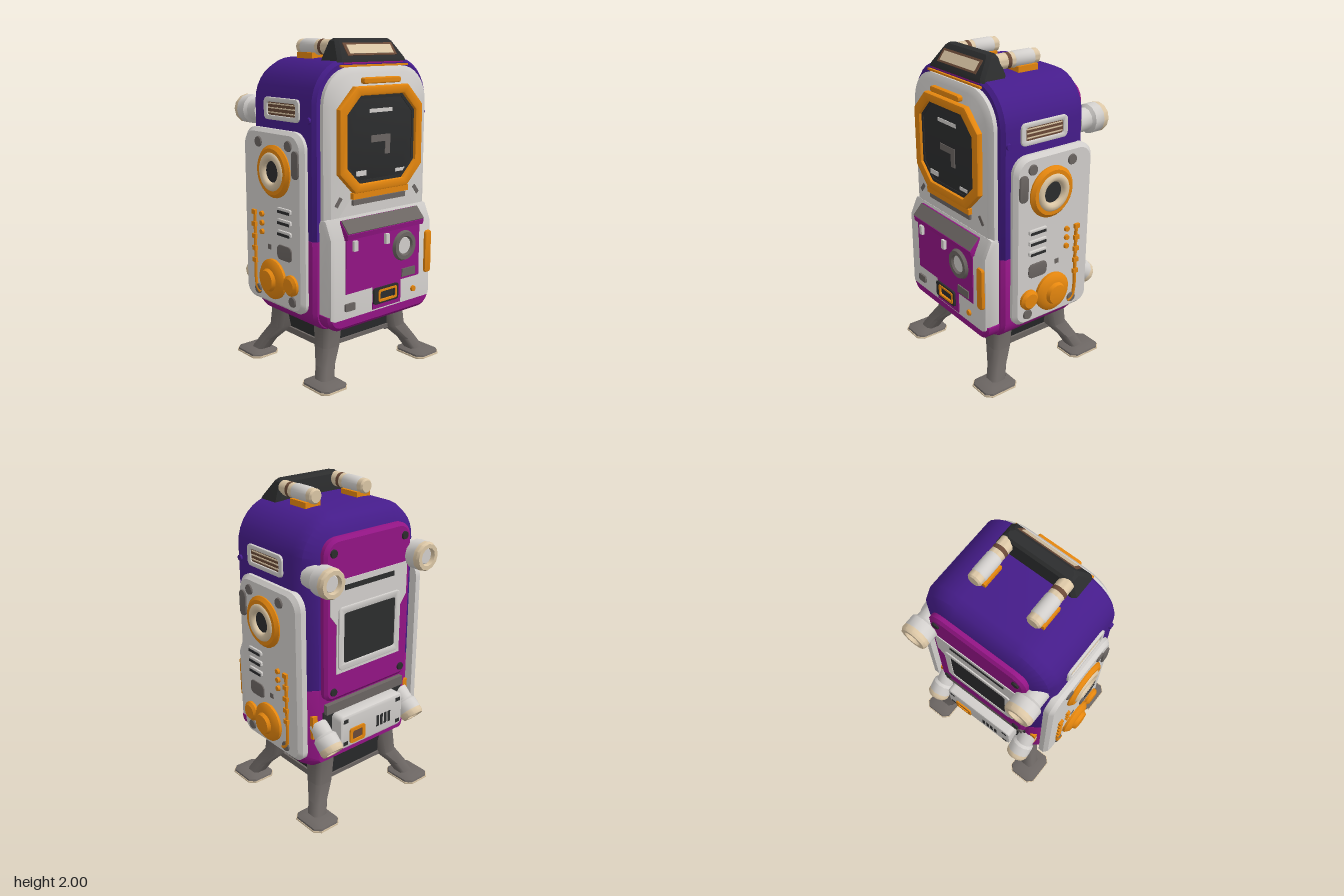
import * as THREE from 'three';
import { toCreasedNormals } from 'three/addons/utils/BufferGeometryUtils.js';

const mat = (name, color) => Object.assign(new THREE.MeshStandardMaterial({ color }), { name });
const M = {
  purple: mat('purple', 0x451c8a), magenta: mat('magenta', 0x941586), white: mat('offWhite', 0xd3d0cd),
  grey: mat('grey', 0x6c6663), dark: mat('charcoal', 0x2c2d2e), orange: mat('orange', 0xe6870e),
  beige: mat('beige', 0xdcc7a6), brown: mat('brown', 0x6b4a38),
};

function add(parent, name, geo, material, x = 0, y = 0, z = 0, rx = 0, ry = 0, rz = 0) {
  const m = new THREE.Mesh(geo, material);
  m.name = name;
  m.position.set(x, y, z);
  m.rotation.set(rx, ry, rz);
  parent.add(m);
  return m;
}

// Closed solid through equal-sized rings of points, with fan caps
function loft(rings, crease = 0.6) {
  const n = rings[0].length, tris = [];
  for (let k = 0; k + 1 < rings.length; k++) for (let i = 0; i < n; i++) {
    const j = (i + 1) % n, a = rings[k][i], b = rings[k][j], c = rings[k + 1][j], d = rings[k + 1][i];
    tris.push([a, b, c], [a, c, d]);
  }
  const cap = (ring, flip) => {
    const c = ring.reduce((s, p) => s.add(p), new THREE.Vector3()).divideScalar(n);
    for (let i = 0; i < n; i++) {
      const a = ring[i], b = ring[(i + 1) % n];
      tris.push(flip ? [c, b, a] : [c, a, b]);
    }
  };
  cap(rings[0], true);
  cap(rings[rings.length - 1], false);
  // turn faces outwards whichever way the rings run
  const vol = tris.reduce((s, [a, b, c]) => s + a.dot(b.clone().cross(c)), 0);
  const pos = [];
  for (const [a, b, c] of tris) for (const p of vol < 0 ? [a, c, b] : [a, b, c]) pos.push(p.x, p.y, p.z);
  const g = new THREE.BufferGeometry();
  g.setAttribute('position', new THREE.Float32BufferAttribute(pos, 3));
  return toCreasedNormals(g, crease);
}

// Rounded upright outline at depth z
function outline(w, y0, y1, r0, r1, z, n = 8) {
  const pts = [];
  [[1, y0, r0, -1], [1, y1, r1, 0], [-1, y1, r1, 1], [-1, y0, r0, 2]].forEach(([s, y, r, q]) => {
    const cy = y === y0 ? y + r : y - r;
    for (let i = 0; i <= n; i++) {
      const a = (q + i / n) * Math.PI / 2;
      pts.push(new THREE.Vector3(s * (w - r) + r * Math.cos(a), cy + r * Math.sin(a), z));
    }
  });
  return pts;
}

// Chamfered horizontal rectangle at height y
function level(y, cx, cz, hx, hz, c) {
  return [[hx, hz - c], [hx - c, hz], [c - hx, hz], [-hx, hz - c], [-hx, c - hz], [c - hx, -hz], [hx - c, -hz], [hx, c - hz]]
    .map(([x, z]) => new THREE.Vector3(cx + x, y, cz + z));
}

const poly = pts => new THREE.Shape(pts.map(p => new THREE.Vector2(...p)));
const rect = (w, h, r) => poly(outline(w / 2, -h / 2, h / 2, r, r, 0, 5).map(p => [p.x, p.y]));
const octo = (w, h, c) => poly([[w - c, -h], [w, c - h], [w, h - c], [w - c, h], [c - w, h], [-w, h - c], [-w, c - h], [c - w, -h]]);
function hole(shape, inner) { shape.holes.push(inner); return shape; }

// Extrusion from z = 0 to z = depth, with an optional bevel on the outline
function plate(shape, depth, bevel = 0) {
  return toCreasedNormals(new THREE.ExtrudeGeometry(shape, {
    depth: depth - bevel, bevelEnabled: bevel > 0, bevelSize: bevel, bevelThickness: bevel,
    bevelOffset: -bevel, bevelSegments: 2, curveSegments: 12,
  }), 0.6);
}
// (z, y) profile extruded across x
function across(pts, half, bevel) {
  return plate(poly(pts), 2 * half - bevel, bevel).translate(0, 0, -half + bevel).rotateY(-Math.PI / 2);
}
const box = (w, h, d) => new THREE.BoxGeometry(w, h, d);
const lathe = (pts, sides = 28) => toCreasedNormals(new THREE.LatheGeometry(pts.map(p => new THREE.Vector2(...p)), sides).rotateX(Math.PI / 2), 0.6);
const disc = (r, d) => new THREE.CylinderGeometry(r * 0.85, r, d, 20).rotateX(Math.PI / 2);

function buildShell(g) {
  const steps = [[0.32, 0.02], [0.3, 0], [-0.2, 0], [-0.26, 0.025], [-0.31, 0.1]];
  add(g, 'upperShell', loft(steps.map(([z, i]) => outline(0.445 - i, 0.88, 1.89 - i, 0.003, 0.25 - i, z))), M.purple);
  add(g, 'lowerShell', loft(steps.map(([z, i]) => outline(0.445 - i, 0.335 + i * 0.5, 0.88, 0.12 - i, 0.003, z))), M.magenta);
}

function buildFront(g) {
  add(g, 'upperFascia', loft([[0.31, 0], [0.345, 0], [0.368, 0.035]].map(([z, i]) =>
    outline(0.4 - i, 0.95, 1.845 - i, 0.01, 0.21 - i, z))), M.white);
  add(g, 'topTrim', box(0.52, 0.012, 0.02), M.orange, 0, 1.85, 0.325);
  add(g, 'topEdge', box(0.46, 0.012, 0.012), M.magenta, 0, 1.868, 0.318);
  add(g, 'lowerFascia', across([[0.28, 0.42], [0.42, 0.42], [0.42, 0.9], [0.37, 1.01], [0.28, 1.01]], 0.41, 0.03), M.white);
  add(g, 'bottomLip', loft([[0.3, 0], [0.395, 0], [0.412, 0.02]].map(([z, i]) =>
    outline(0.415 - i, 0.35 + i, 0.45, 0.09 - i, 0.003, z))), M.magenta);

  // Screen
  add(g, 'screenFrame', plate(hole(octo(0.325, 0.3, 0.12), octo(0.268, 0.248, 0.1)), 0.035, 0.012), M.orange, 0, 1.44, 0.368);
  add(g, 'screenBezel', plate(hole(octo(0.275, 0.255, 0.1), octo(0.25, 0.23, 0.09)), 0.018), M.dark, 0, 1.44, 0.366);
  add(g, 'screenGlass', plate(octo(0.262, 0.242, 0.1), 0.014, 0.008), M.dark, 0, 1.44, 0.366);
  for (const [x, y, w, h] of [[0, 1.6, 0.18, 0.022], [-0.15, 1.25, 0.08, 0.03], [0.16, 1.24, 0.08, 0.02]])
    add(g, 'screenGlint', box(w, h, 0.004), M.white, x, y, 0.382);
  for (const [x, y, w, h] of [[0, 1.44, 0.15, 0.04], [0.055, 1.385, 0.04, 0.08]])
    add(g, 'screenMark', box(w, h, 0.004), M.grey, x, y, 0.382);
  add(g, 'screenTopTab', plate(rect(0.29, 0.035, 0.015), 0.03, 0.008), M.orange, 0, 1.77, 0.368);
  add(g, 'screenSill', box(0.44, 0.035, 0.03), M.orange, 0, 1.125, 0.38);
  add(g, 'sillShadowStrip', box(0.42, 0.03, 0.02), M.grey, 0, 1.085, 0.372);
  for (const s of [-1, 1]) add(g, 'fasciaSlot', box(0.06, 0.024, 0.006), M.grey, s * 0.31, 1.1, 0.369, 0, 0, s * -0.9);

  // Control panel under a sloping canopy
  add(g, 'controlPanel', plate(poly([[-0.3, 0.57], [-0.09, 0.57], [-0.09, 0.43], [0.14, 0.43], [0.14, 0.57], [0.295, 0.57], [0.295, 0.91], [-0.3, 0.91]]), 0.008), M.magenta, 0, 0, 0.417);
  add(g, 'canopy', across([[0.36, 0.995], [0.385, 0.995], [0.45, 0.925], [0.445, 0.895], [0.4, 0.88]], 0.31, 0.008), M.magenta);
  add(g, 'canopyTop', box(0.61, 0.09, 0.01), M.grey, 0, 0.962, 0.418, -0.75);
  for (const x of [-0.24, 0.01]) add(g, 'hook', box(0.028, 0.06, 0.025), M.white, x, 0.85, 0.432);
  add(g, 'dialRing', lathe([[0.095, 0], [0.085, 0.022], [0.06, 0.022], [0.05, 0.004]]), M.grey, 0.16, 0.78, 0.422);
  add(g, 'dialFace', disc(0.058, 0.008), M.white, 0.16, 0.78, 0.428);
  add(g, 'cardSlot', box(0.11, 0.05, 0.012), M.grey, 0.2, 0.61, 0.427);
  add(g, 'trayFrame', plate(hole(rect(0.2, 0.1, 0.015), rect(0.13, 0.055, 0.01)), 0.015), M.dark, 0.01, 0.51, 0.422);
  add(g, 'trayRim', plate(hole(rect(0.15, 0.075, 0.012), rect(0.125, 0.05, 0.01)), 0.02), M.orange, 0.02, 0.51, 0.422);
  add(g, 'trayInside', box(0.125, 0.05, 0.006), M.dark, 0.02, 0.51, 0.426);
  add(g, 'smallButton', plate(rect(0.075, 0.045, 0.008), 0.014), M.grey, -0.27, 0.49, 0.418);
  add(g, 'roundButton', disc(0.02, 0.016), M.orange, 0.25, 0.488, 0.424);
  add(g, 'sideBar', plate(rect(0.055, 0.27, 0.02), 0.035, 0.01), M.orange, 0.37, 0.705, 0.4);
}

// One flank, made facing +z and then turned to face +x or -x
function buildSide(g, s) {
  const side = new THREE.Group();
  side.name = s > 0 ? 'leftSide' : 'rightSide';
  side.rotation.y = s * Math.PI / 2;
  g.add(side);
  const put = (name, geo, m, z, y, out) => add(side, name, geo, m, -s * z, y, out);

  put('sidePanel', loft([[0.43, 0], [0.465, 0], [0.488, 0.022]].map(([z, i]) =>
    outline(0.285 - i, 0.43 + i, 1.49 - i, 0.07 - i * 0.5, 0.1 - i * 0.5, z))), M.white, -0.02, 0, 0);
  put('ventFrame', plate(hole(rect(0.33, 0.13, 0.03), rect(0.265, 0.075, 0.015)), 0.02, 0.006), M.white, 0.035, 1.605, 0.437);
  put('ventBack', box(0.27, 0.08, 0.008), M.brown, 0.035, 1.605, 0.444);
  for (const d of [-0.022, 0.004, 0.028]) put('ventSlat', box(0.25, 0.007, 0.012), M.beige, 0.035, 1.605 + d, 0.446);

  // Porthole
  put('portholeRing', lathe([[0.155, 0], [0.155, 0.012], [0.135, 0.03], [0.105, 0.03]]), M.orange, 0.01, 1.25, 0.484);
  put('portholeCushion', new THREE.TorusGeometry(0.09, 0.027, 10, 28), M.beige, 0.01, 1.25, 0.5);
  put('portholeGlass', disc(0.075, 0.02), M.dark, 0.01, 1.25, 0.49);

  // Knobs and piping
  put('largeKnob', lathe([[0.122, 0], [0.122, 0.02], [0.1, 0.04], [0.07, 0.045], [0.06, 0.066], [0.035, 0.07], [0, 0.07]]), M.orange, -0.01, 0.6, 0.484);
  put('smallKnob', lathe([[0.062, 0], [0.062, 0.02], [0.045, 0.035], [0, 0.037]]), M.orange, 0.165, 0.6, 0.484);
  put('knobLink', box(0.12, 0.05, 0.02), M.orange, 0.1, 0.6, 0.49);
  const pipe = new THREE.CatmullRomCurve3([[0.19, 0.98], [0.19, 0.75], [0.19, 0.55], [0.175, 0.5], [0.14, 0.485]].map(([x, y]) => new THREE.Vector3(s * x, y, 0.49)));
  put('pipe', new THREE.TubeGeometry(pipe, 20, 0.012, 6), M.orange, 0, 0, 0);
  for (let i = 0; i < 5; i++) put('pipeClip', box(0.036, 0.028, 0.026), M.orange, -0.19, 0.98 - i * 0.075, 0.492);
  for (let i = 0; i < 3; i++) put('stud', disc(0.018, 0.018), M.orange, -0.115, 0.98 - i * 0.055, 0.494);

  // Slots, hatch and bolts
  for (let i = 0; i < 3; i++) {
    put('louverLip', plate(rect(0.13, 0.032, 0.012), 0.016, 0.005), M.white, 0.105, 1.032 - i * 0.067, 0.484);
    put('louver', box(0.11, 0.016, 0.008), M.dark, 0.105, 1.025 - i * 0.067, 0.5);
  }
  put('hatch', plate(rect(0.135, 0.09, 0.03), 0.012, 0.004), M.grey, 0.1, 0.78, 0.484);
  put('gauge', box(0.03, 0.03, 0.006), M.grey, -0.045, 0.79, 0.489);
  for (const [z, y] of [[0.145, 1.41], [-0.14, 1.41], [0.17, 0.5], [-0.17, 0.5]])
    put('panelBolt', disc(0.034, 0.014), M.grey, z, y, 0.49);
  put('oblongCap', plate(rect(0.06, 0.16, 0.028), 0.016, 0.004), M.grey, 0.21, 1.31, 0.483);
  put('shellBolt', disc(0.02, 0.02), M.purple, 0.28, 1.56, 0.447);
}

function buildBack(g) {
  const back = new THREE.Group();
  back.name = 'backSide';
  back.rotation.y = Math.PI;
  g.add(back);
  add(back, 'backPanel', loft([[0.29, 0], [0.335, 0], [0.35, 0.02]].map(([z, i]) =>
    outline(0.33 - i, 0.8 + i, 1.78 - i, 0.06 - i, 0.1 - i, z))), M.magenta);
  add(back, 'backPlate', plate(poly([[-0.25, 0.97], [0.25, 0.97], [0.25, 1.28], [0.295, 1.34], [0.295, 1.54], [-0.295, 1.54], [-0.295, 1.34], [-0.25, 1.28]]), 0.008), M.white, 0, 0, 0.347);
  add(back, 'backSlot', box(0.38, 0.03, 0.008), M.dark, 0, 1.49, 0.354);
  add(back, 'backWindowFrame', plate(hole(rect(0.48, 0.39, 0.03), rect(0.4, 0.31, 0.015)), 0.014, 0.004), M.white, 0, 1.185, 0.35);
  add(back, 'backWindow', box(0.41, 0.32, 0.008), M.dark, 0, 1.185, 0.355);
  for (const s of [-1, 1]) for (const y of [0.86, 1.7]) add(back, 'backBolt', disc(0.026, 0.014), M.dark, s * 0.27, y, 0.353);

  // Connector box
  add(back, 'connectorShelf', box(0.62, 0.06, 0.05), M.grey, 0, 0.745, 0.315);
  add(back, 'connectorRecess', box(0.64, 0.27, 0.02), M.dark, 0, 0.59, 0.308);
  add(back, 'connectorBox', plate(rect(0.51, 0.22, 0.03), 0.1, 0.014), M.white, 0, 0.59, 0.3);
  add(back, 'portRim', plate(hole(rect(0.12, 0.1, 0.015), rect(0.08, 0.06, 0.01)), 0.016), M.orange, -0.125, 0.555, 0.394);
  add(back, 'portInside', box(0.085, 0.065, 0.006), M.brown, -0.125, 0.555, 0.399);
  for (let i = 0; i < 4; i++) add(back, 'connectorSlit', box(0.02, 0.075, 0.006), M.dark, 0.045 + i * 0.032, 0.575, 0.399);
  for (const sx of [-1, 1]) for (const sy of [-1, 1]) add(back, 'connectorCorner', box(0.035, 0.025, 0.006), M.dark, sx * 0.215, 0.59 + sy * 0.075, 0.399);

  // Nozzles: a neck, a wider head and a pale lip
  const nozzle = (name, r, len, x, y, z, tilt) => {
    const n = new THREE.Group();
    n.name = name;
    n.position.set(x, y, z);
    n.rotation.x = tilt;
    back.add(n);
    add(n, 'nozzleBody', lathe([[0, 0], [r * 0.8, 0], [r * 0.8, len * 0.4], [r, len * 0.48], [r, len * 0.8]], 12), M.white);
    add(n, 'nozzleRim', lathe([[r, len * 0.8], [r, len * 0.92], [r * 0.9, len], [r * 0.62, len], [r * 0.55, len * 0.85]], 12), M.beige);
    add(n, 'nozzleMouth', disc(r * 0.6, 0.008), M.white, 0, 0, len * 0.87);
  };
  for (const s of [-1, 1]) {
    nozzle('upperNozzle', 0.088, 0.2, s * 0.36, 1.575, 0.26, 0);
    nozzle('lowerNozzle', 0.073, 0.2, s * 0.335, 0.645, 0.28, 0.74);
    add(back, 'nozzleMount', box(0.12, 0.15, 0.04), M.orange, s * 0.33, 0.64, 0.285);
  }
}

function buildTop(g) {
  add(g, 'handle', loft([[1.87, 0.27, 0.15, 0.325], [1.89, 0.262, 0.15, 0.32], [1.985, 0.222, 0.165, 0.25], [2.0, 0.205, 0.18, 0.235]]
    .map(([y, hx, z0, z1]) => level(y, 0, (z0 + z1) / 2, hx, (z1 - z0) / 2, 0.02)), 0.4), M.dark);
  add(g, 'handleInsetRim', box(0.38, 0.085, 0.006), M.brown, 0, 1.94, 0.285, -0.635);
  add(g, 'handleInset', box(0.34, 0.06, 0.008), M.beige, 0, 1.94, 0.287, -0.635);
  for (const s of [-1, 1]) {
    add(g, 'tubeMount', box(0.105, 0.04, 0.14), M.orange, s * 0.19, 1.9, -0.01);
    add(g, 'tubeMiddle', lathe([[0.043, -0.07], [0.047, -0.06], [0.047, 0.06], [0.043, 0.07]]), M.white, s * 0.19, 1.952, 0);
    add(g, 'tubeCore', lathe([[0, -0.11], [0.035, -0.11], [0.044, -0.1], [0.044, 0.18], [0, 0.18]]), M.beige, s * 0.19, 1.952, 0);
    add(g, 'tubeBand', lathe([[0.0455, 0.095], [0.0455, 0.12]]), M.brown, s * 0.19, 1.952, 0);
  }
}

function buildBase(g) {
  add(g, 'baseBlock', loft([level(0.37, 0, 0, 0.31, 0.27, 0.05), level(0.19, 0, 0, 0.25, 0.235, 0.04)], 0.4), M.dark);
  for (const s of [-1, 1]) {
    add(g, 'frontBackRail', box(0.44, 0.025, 0.03), M.grey, 0, 0.205, s * 0.235);
    add(g, 'sideRail', box(0.03, 0.04, 0.4), M.grey, s * 0.25, 0.175, 0);
    for (const t of [-1, 1]) {
      add(g, 'leg', loft([[0.38, 0.25, 0.205, 0.075], [0.2, 0.275, 0.225, 0.065], [0.11, 0.34, 0.285, 0.05], [0.02, 0.385, 0.33, 0.05]]
        .map(([y, x, z, h]) => level(y, s * x, t * z, h, h, h * 0.4)), 0.9), M.grey);
      const foot = (name, m, levels) => add(g, name, loft(levels.map(([y, k]) =>
        level(y, s * 0.39, t * 0.34, 0.1 * k, 0.12 * k, 0.035 * k)), 0.5), m);
      foot('footPad', M.beige, [[0.004, 0.92], [0.01, 1], [0.02, 1]]);
      foot('footTop', M.grey, [[0.018, 0.97], [0.03, 0.93], [0.045, 0.6]]);
      foot('footSole', M.dark, [[0, 0.72], [0.006, 0.75]]);
    }
  }
}

export function createModel() {
  const g = new THREE.Group();
  g.name = 'vendingCabinet';
  buildShell(g);
  buildFront(g);
  buildSide(g, 1);
  buildSide(g, -1);
  buildBack(g);
  buildTop(g);
  buildBase(g);
  return g;
}
